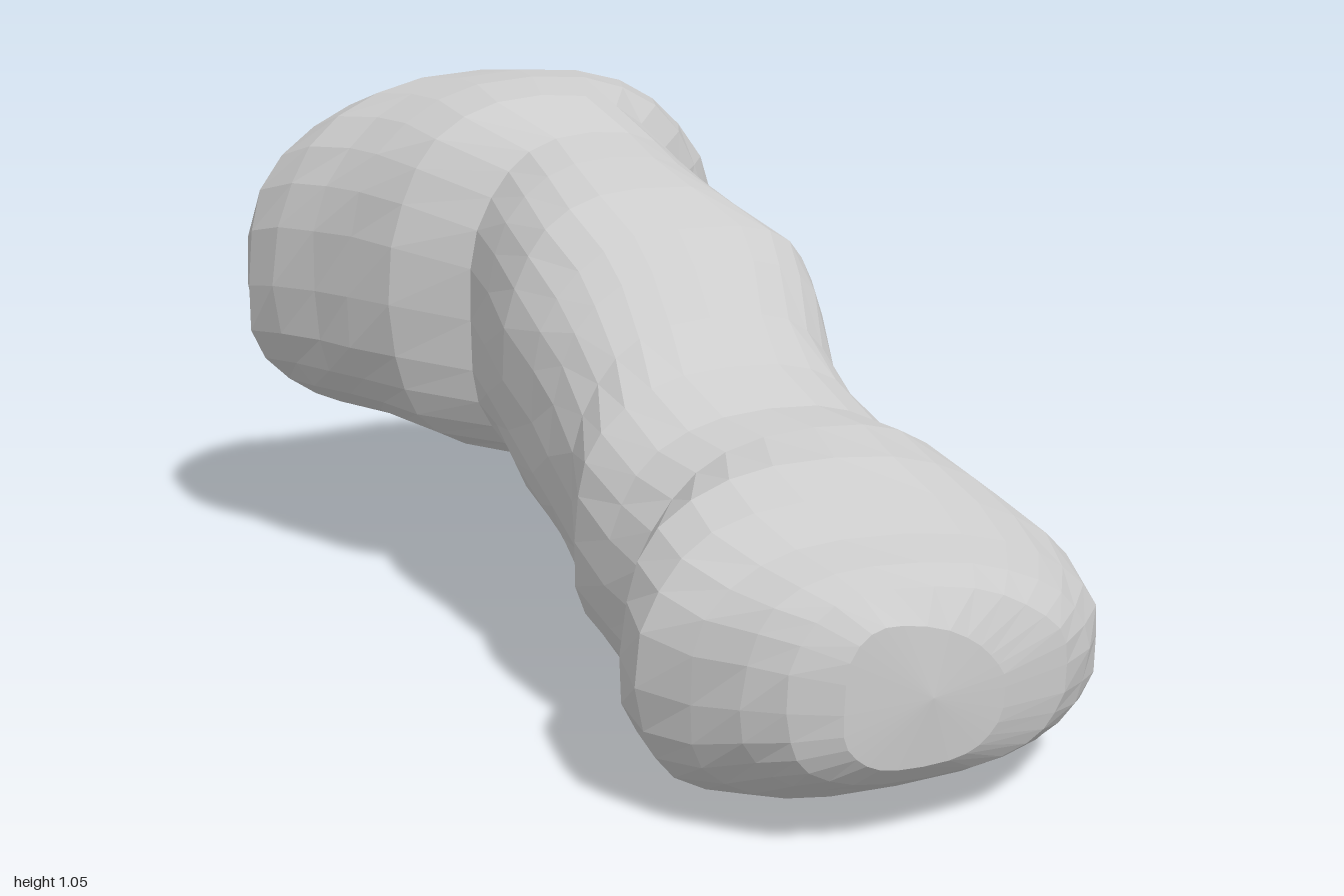
import * as THREE from 'three';

const SIDES = 28;
// Sections along the shaft: distance, right edge, left edge, bottom, top
const SECTIONS = [
  [-1.0, -0.36, 0.25, 0.48, 0.74],
  [-0.96, -0.45, 0.41, 0.39, 0.83],
  [-0.9, -0.5, 0.45, 0.32, 0.92],
  [-0.8, -0.53, 0.43, 0.29, 1.0],
  [-0.7, -0.5, 0.45, 0.29, 1.04],
  [-0.6, -0.45, 0.48, 0.29, 1.05],
  [-0.5, -0.41, 0.42, 0.29, 1.05],
  [-0.38, -0.36, 0.31, 0.29, 1.03],
  [-0.25, -0.24, 0.3, 0.29, 0.97],
  [-0.13, -0.255, 0.29, 0.28, 0.94],
  [0.0, -0.27, 0.3, 0.24, 0.9],
  [0.12, -0.265, 0.35, 0.19, 0.84],
  [0.2, -0.26, 0.33, 0.15, 0.79],
  [0.3, -0.26, 0.3, 0.11, 0.71],
  [0.4, -0.3, 0.32, 0.09, 0.64],
  [0.52, -0.29, 0.35, 0.05, 0.59],
  [0.63, -0.28, 0.4, 0.01, 0.58],
  [0.75, -0.37, 0.44, 0, 0.56],
  [0.85, -0.385, 0.48, 0, 0.52],
  [0.95, -0.34, 0.45, 0.03, 0.48],
  [1.04, -0.29, 0.37, 0.08, 0.46],
  [1.1, -0.24, 0.29, 0.11, 0.44],
  [1.14, -0.16, 0.14, 0.15, 0.39],
];

// Shaft coordinates (along, across, height) to the diagonal in x and z
const place = (t, w, y) => [0.64 * t + 0.77 * w, y, 0.77 * t - 0.64 * w];
const power = (v, p) => Math.sign(v) * Math.abs(v) ** p;
const bell = (v, centre, width) => Math.exp(-(((v - centre) / width) ** 2));

function boneGeometry() {
  const pos = [];
  const index = [];
  SECTIONS.forEach(([t, right, left, bottom, top], i) => {
    const head = THREE.MathUtils.smoothstep(-t, 0.2, 0.6);
    const widest = bottom + (top - bottom) * (0.47 - 0.04 * head);
    const mid = (left + right) / 2;
    const half = (left - right) / 2;
    // Square left shoulder at mid shaft; small end is lower on its left
    const shoulder = 0.83 - 0.28 * bell(t, 0.14, 0.25);
    const tilt = -0.05 * THREE.MathUtils.smoothstep(t, 0.6, 0.88);
    for (let j = 0; j < SIDES; j++) {
      const a = (j / SIDES) * Math.PI * 2;
      const c = Math.cos(a);
      const s = Math.sin(a);
      // Fuller underside than top, with slight unevenness
      const p = s < 0 ? 0.75 : c > 0 ? shoulder : 0.82;
      const bump = 1 + 0.012 * Math.sin(i * 2.3 + j * 1.7);
      const w = mid + half * power(c, p) * bump;
      const rise = s < 0 ? widest - bottom : top - widest + tilt * c;
      const y = widest + rise * power(s, p);
      // Shallow groove between the two lobes of the large end
      const groove = t < -0.85 ? 0.04 * bell(w, -0.1, 0.1) : 0;
      pos.push(...place(t + groove, w, Math.max(0, y)));
    }
  });

  // Skin between the sections
  const n = SECTIONS.length;
  for (let i = 0; i < n - 1; i++) {
    for (let j = 0; j < SIDES; j++) {
      const a = i * SIDES + j;
      const b = i * SIDES + (j + 1) % SIDES;
      index.push(a, b, a + SIDES, b, b + SIDES, a + SIDES);
    }
  }

  // Closed ends
  const start = pos.length / 3;
  pos.push(...place(-1.0, 0.05, 0.62), ...place(1.15, 0, 0.27));
  const last = (n - 1) * SIDES;
  for (let j = 0; j < SIDES; j++) {
    const k = (j + 1) % SIDES;
    index.push(start, k, j, start + 1, last + j, last + k);
  }

  const geo = new THREE.BufferGeometry();
  geo.setAttribute('position', new THREE.Float32BufferAttribute(pos, 3));
  geo.setIndex(index);
  geo.computeVertexNormals();
  return geo;
}

export function createModel() {
  const group = new THREE.Group();
  group.name = 'boneModel';
  const material = new THREE.MeshStandardMaterial({ color: 0xcccccc, flatShading: true });
  const bone = new THREE.Mesh(boneGeometry(), material);
  bone.name = 'bone';
  group.add(bone);
  return group;
}
